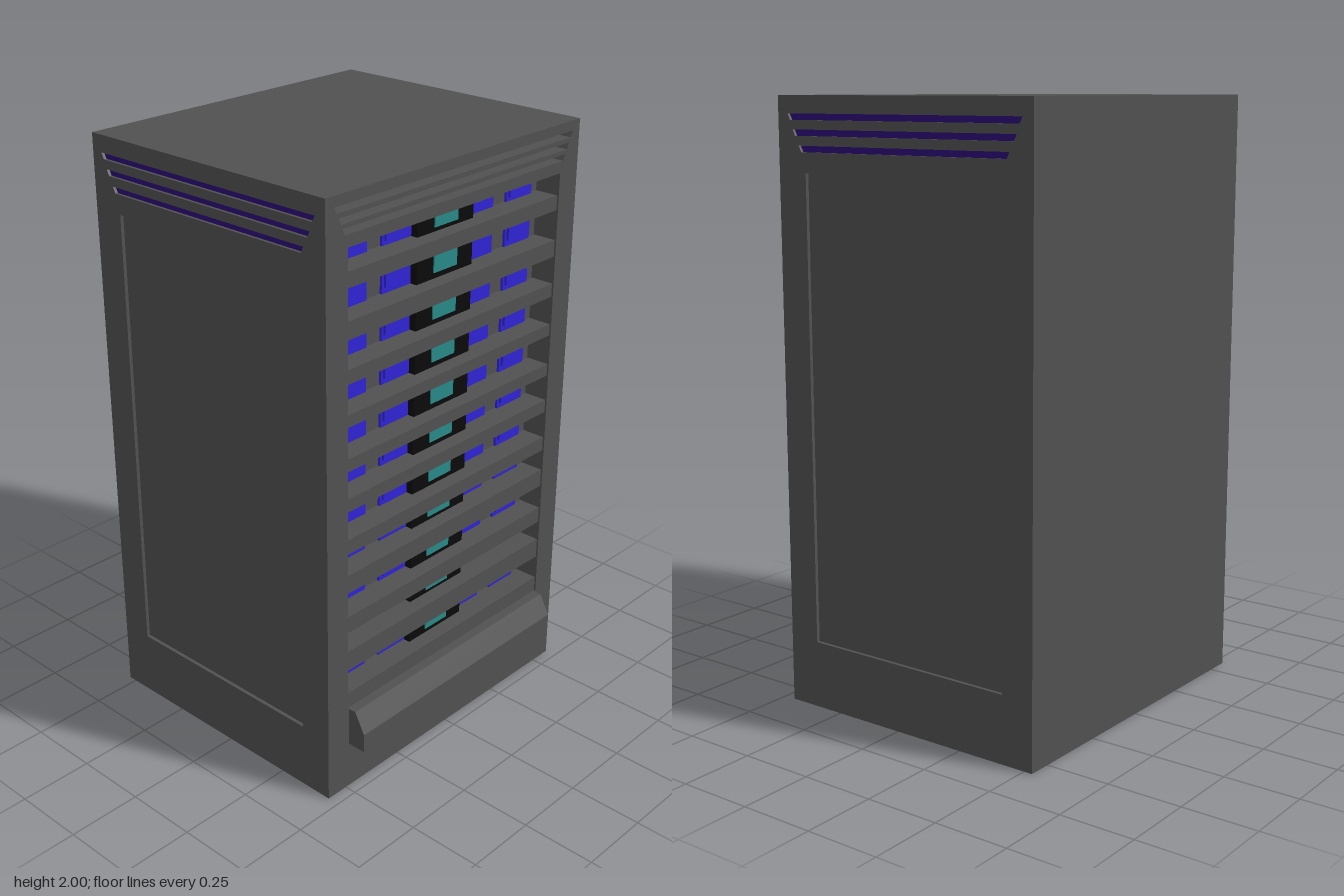
import * as THREE from 'three';

const mat = (name, color) => Object.assign(new THREE.MeshStandardMaterial({ color }), { name });

export function createModel() {
  const grey = mat('cabinetGrey', 0x515151);
  const blue = mat('driveBlue', 0x3024d6);
  const purple = mat('ventPurple', 0x2b0c78);
  const black = mat('displayBlack', 0x0b0b0b);
  const teal = mat('screenTeal', 0x288a88);

  const root = new THREE.Group();
  root.name = 'serverCabinet';

  const add = (name, geometry, material, parent = root) => {
    const m = new THREE.Mesh(geometry, material);
    m.name = name;
    parent.add(m);
    return m;
  };
  // box given by its min and max on each axis
  const box = (name, material, x0, x1, y0, y1, z0, z1, parent = root) => {
    const m = add(name, new THREE.BoxGeometry(x1 - x0, y1 - y0, z1 - z0), material, parent);
    m.position.set((x0 + x1) / 2, (y0 + y1) / 2, (z0 + z1) / 2);
    return m;
  };
  // symmetric trapezoid: half widths at bottom and top
  const trapezoid = (Type, wBottom, wTop, y0, y1) => {
    const p = new Type();
    p.moveTo(-wBottom, y0);
    p.lineTo(wBottom, y0);
    p.lineTo(wTop, y1);
    p.lineTo(-wTop, y1);
    p.closePath();
    return p;
  };
  const slot = (Type, [w, y]) => trapezoid(Type, w - 0.01, w, y - 0.01, y + 0.01);
  const plate = (halfWidth, holes, depth) => {
    const s = trapezoid(THREE.Shape, halfWidth, halfWidth, 0, 2);
    s.holes.push(...holes);
    return new THREE.ExtrudeGeometry(s, { depth, bevelEnabled: false });
  };

  // core of the cabinet, inside the wall plates
  const SKIN = 0.012, BACK = 0.37, FACE = 0.46, MID = -0.035;
  box('cabinetCore', grey, -0.53, BACK, 0, 2, -0.58 + SKIN, 0.58 - SKIN);

  // front and back walls with vent slots and a recessed panel
  const ventRows = [[0.455, 1.934], [0.435, 1.885], [0.41, 1.835]];
  for (const side of [1, -1]) {
    const wall = new THREE.Group();
    wall.name = side > 0 ? 'frontWall' : 'backWall';
    wall.position.x = MID;
    root.add(wall);
    const holes = ventRows.map(r => slot(THREE.Path, r));
    holes.push(trapezoid(THREE.Path, 0.383, 0.383, 0.225, 1.76));
    add('wallPlate', plate(0.495, holes, SKIN), grey, wall)
      .position.z = side > 0 ? 0.58 - SKIN : -0.58;
    for (const r of ventRows) {
      const vent = add('ventStrip', new THREE.ShapeGeometry(slot(THREE.Shape, r)), purple, wall);
      vent.position.z = side * (0.58 - SKIN + 0.002);
      if (side < 0) vent.rotation.y = Math.PI;
    }
  }

  // rack side: frame with the bay opening and three deep slots
  const rackVents = [[0.545, 1.957], [0.528, 1.922], [0.512, 1.888]];
  const rackHoles = rackVents.map(r => slot(THREE.Path, r));
  rackHoles.push(trapezoid(THREE.Path, 0.49, 0.49, 0.3, 1.84));
  const frame = add('rackFrame', plate(0.58 - SKIN, rackHoles, FACE - BACK), grey);
  frame.rotation.y = Math.PI / 2;
  frame.position.x = BACK;
  for (const i of [0, 2]) {
    const vent = add('rackVentStrip', new THREE.ShapeGeometry(slot(THREE.Shape, rackVents[i])), purple);
    vent.rotation.y = Math.PI / 2;
    vent.position.x = BACK + 0.002;
  }

  // server bays [bottom, top], each with a shelf below it
  const bays = [
    [0.355, 0.44], [0.51, 0.58], [0.637, 0.722], [0.785, 0.86], [0.91, 1.005], [1.05, 1.14],
    [1.182, 1.285], [1.325, 1.422], [1.468, 1.56], [1.617, 1.717], [1.766, 1.84],
  ];
  let floor = 0.3;
  for (const [y0, y1] of bays) {
    const bay = new THREE.Group();
    bay.name = 'serverBay';
    root.add(bay);
    const h = y1 - y0, y = (y0 + y1) / 2;
    box('shelf', grey, BACK, FACE - 0.006, floor, y0, -0.49, 0.49, bay);
    for (const z of [-0.388, -0.194, 0.194, 0.388]) {
      box('driveBay', blue, BACK, 0.378, y0, y1, z - 0.064, z + 0.064, bay);
      box('driveHandle', blue, 0.378, 0.386, y - h * 0.3, y + h * 0.3, z - 0.054, z + 0.054, bay);
    }
    box('displayHousing', black, BACK, 0.402, y0, y1, -0.13, 0.13, bay);
    box('displayScreen', teal, 0.402, 0.406, y - h * 0.31, y + h * 0.31, -0.054, 0.054, bay);
    floor = y1;
  }

  // sloped console ledge under the bays
  const ledge = new THREE.Shape([[0.46, 0.165], [0.525, 0.165], [0.525, 0.23], [0.487, 0.3], [0.46, 0.3]]
    .map(([x, y]) => new THREE.Vector2(x, y)));
  add('consoleLedge', new THREE.ExtrudeGeometry(ledge, { depth: 0.97, bevelEnabled: false }), grey)
    .position.z = -0.485;

  return root;
}
